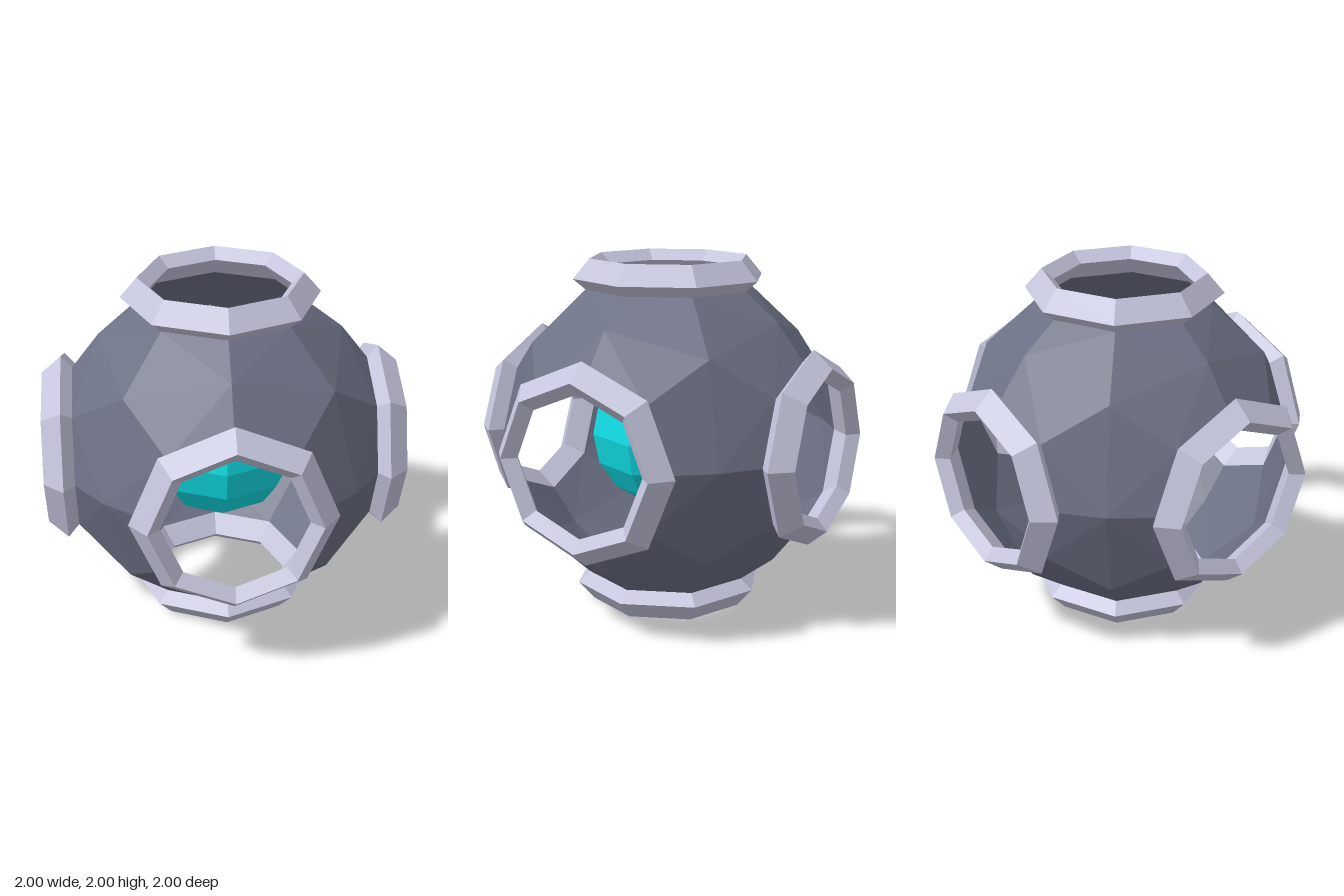
import * as THREE from 'three';

const shellMat = new THREE.MeshStandardMaterial({ color: 0x6c7084, side: THREE.DoubleSide, flatShading: true });
const rimMat = new THREE.MeshStandardMaterial({ color: 0xc4c4dc, flatShading: true });
const coreMat = new THREE.MeshStandardMaterial({ color: 0x10dae2, flatShading: true });
shellMat.name = 'slate shell';
rimMat.name = 'pale rim';
coreMat.name = 'teal core';

// Hollow ball with an octagonal hole on each axis: one octant patch, turned and mirrored
function shellGeometry() {
  const c = 0.552, m = 0.677, h = 0.83, r = 0.48, d = r * Math.SQRT1_2;
  const centre = [c, c, c];
  const fan = [[m, m, 0], [h, r, 0], [h, d, d], [h, 0, r], [m, 0, m]];
  const positions = [];
  for (const sx of [1, -1]) for (const sy of [1, -1]) for (const sz of [1, -1]) {
    for (let turn = 0; turn < 3; turn++) {
      const place = (p) => [
        sx * p[(3 - turn) % 3], sy * p[(4 - turn) % 3], sz * p[(5 - turn) % 3],
      ];
      // Each third of an octant runs from the centre to one hole's edge
      const [a, b, e, f, g] = fan;
      for (const tri of [[centre, e, a], [a, e, b], [centre, g, e], [g, f, e]]) {
        const pts = tri.map(place).map((p) => new THREE.Vector3(...p));
        const n = pts[1].clone().sub(pts[0]).cross(pts[2].clone().sub(pts[0]));
        if (n.dot(pts[0]) < 0) pts.reverse();
        pts.forEach((p) => positions.push(p.x, p.y, p.z));
      }
    }
  }
  const geo = new THREE.BufferGeometry();
  geo.setAttribute('position', new THREE.Float32BufferAttribute(positions, 3));
  geo.computeVertexNormals();
  return geo;
}

function faceted(geo) {
  const flat = geo.toNonIndexed();
  flat.computeVertexNormals();
  return flat;
}

function addMesh(group, name, geo, mat) {
  const mesh = new THREE.Mesh(geo, mat);
  mesh.name = name;
  group.add(mesh);
  return mesh;
}

export function createModel() {
  const model = new THREE.Group();
  model.name = 'portholeSphere';
  const body = new THREE.Group();
  body.name = 'body';
  body.position.y = 1;
  model.add(body);

  addMesh(body, 'shell', shellGeometry(), shellMat);
  addMesh(body, 'core', faceted(new THREE.SphereGeometry(0.45, 8, 8)), coreMat);

  // Slanted octagonal rims around the six openings
  const profile = [[0.48, 0.83], [0.55, 0.89], [0.455, 1], [0.387, 0.94], [0.48, 0.83]]
    .map(([r, y]) => new THREE.Vector2(r, y));
  const rimGeo = faceted(new THREE.LatheGeometry(profile, 8));
  const q = Math.PI / 2;
  const rims = {
    topRim: [0, 0], bottomRim: [2 * q, 0],
    frontRim: [q, 0], backRim: [-q, 0],
    leftRim: [0, -q], rightRim: [0, q],
  };
  for (const [name, [rx, rz]] of Object.entries(rims)) {
    addMesh(body, name, rimGeo, rimMat).rotation.set(rx, 0, rz);
  }
  return model;
}
